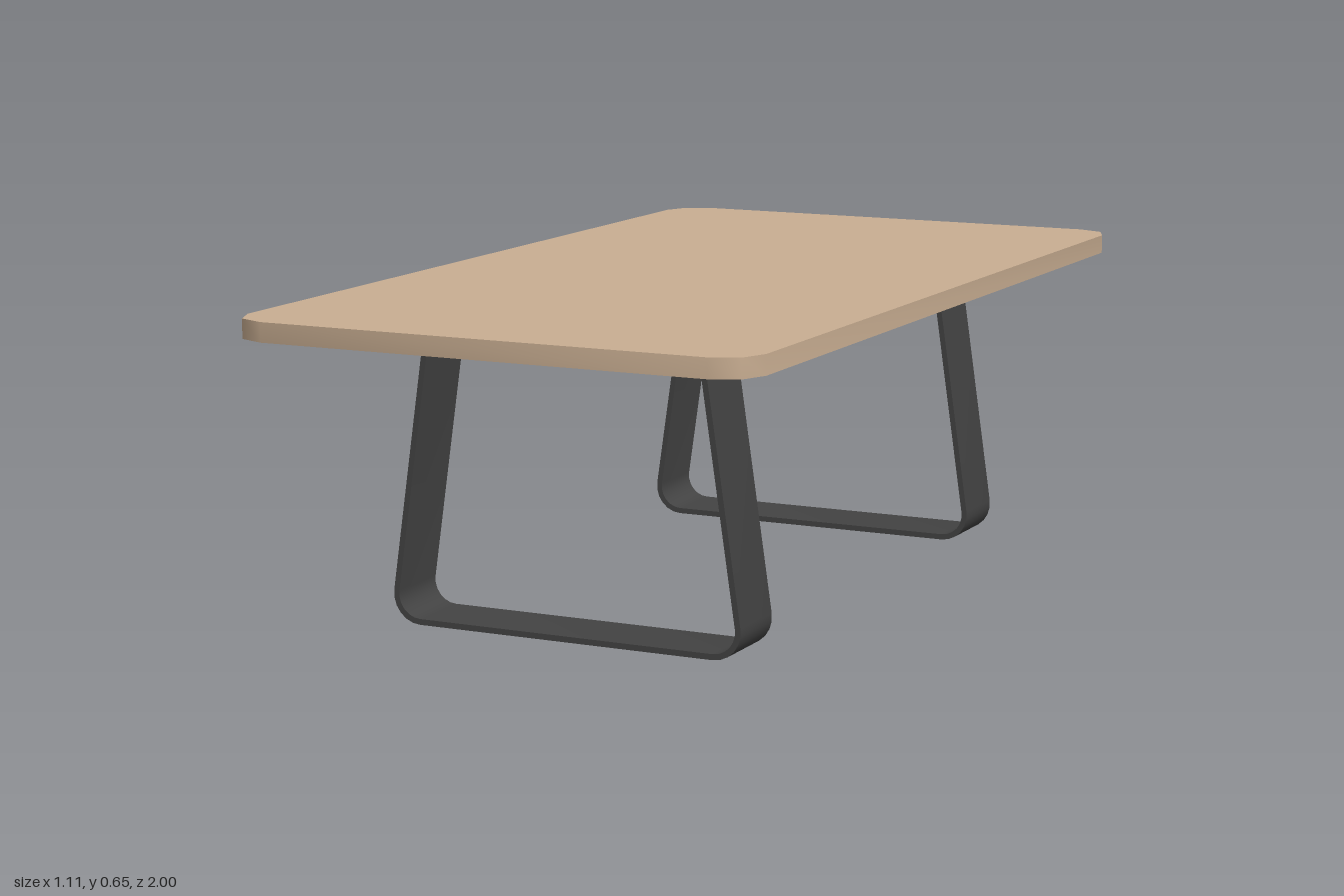
import * as THREE from 'three';
import { toCreasedNormals } from 'three/addons/utils/BufferGeometryUtils.js';

const CREASE = 0.95; // keeps rims sharp, smooths the rounded corners

function extrude(shape, depth, curveSegments) {
  const geo = new THREE.ExtrudeGeometry(shape, { depth, curveSegments, bevelEnabled: false });
  return toCreasedNormals(geo, CREASE);
}

export function createModel() {
  const wood = new THREE.MeshStandardMaterial({ color: 0xc9ae92 });
  wood.name = 'lightWood';
  const metal = new THREE.MeshStandardMaterial({ color: 0x434343 });
  metal.name = 'darkMetal';

  const table = new THREE.Group();
  table.name = 'table';

  // Table top: rounded rectangle slab, two facets per corner
  const halfW = 0.555, halfL = 1, corner = 0.08;
  const underside = 0.615, topThickness = 0.04;
  const slab = new THREE.Shape();
  const cx = halfW - corner, cy = halfL - corner;
  [[1, 1], [-1, 1], [-1, -1], [1, -1]].forEach(([sx, sy], q) => {
    for (let i = 0; i <= 2; i++) {
      const a = (q + i / 2) * Math.PI / 2;
      const x = sx * cx + corner * Math.cos(a), y = sy * cy + corner * Math.sin(a);
      if (q === 0 && i === 0) slab.moveTo(x, y);
      else slab.lineTo(x, y);
    }
  });
  const topGeo = extrude(slab, topThickness, 2);
  topGeo.rotateX(-Math.PI / 2);
  topGeo.translate(0, underside, 0);
  const top = new THREE.Mesh(topGeo, wood);
  top.name = 'tableTop';
  table.add(top);

  // Leg frame: flat bar bent into a tapering U with rounded bottom corners
  const bendX = 0.327, bendY = 0.06, bar = 0.012, bendSegments = 6;
  const lean = Math.atan2(0.08, 0.545);
  // One side of the bar, from bottom centre bend up to the table underside
  function halfPath(radius) {
    const pts = [];
    for (let i = 0; i <= bendSegments; i++) {
      const a = -Math.PI / 2 + (Math.PI / 2 + lean) * i / bendSegments;
      pts.push(new THREE.Vector2(bendX + radius * Math.cos(a), bendY + radius * Math.sin(a)));
    }
    const end = pts[pts.length - 1];
    pts.push(new THREE.Vector2(end.x - (underside - end.y) * Math.tan(lean), underside));
    return pts;
  }
  // Whole U from left top to right top
  function fullPath(radius) {
    const half = halfPath(radius);
    const mirrored = half.map(p => new THREE.Vector2(-p.x, p.y)).reverse();
    return [...mirrored, ...half];
  }
  const outline = new THREE.Shape([...fullPath(bendY), ...fullPath(bendY - bar).reverse()]);
  const legWidth = 0.145;
  const legGeo = extrude(outline, legWidth, bendSegments);
  legGeo.translate(0, 0, -legWidth / 2);

  for (const [name, z] of [['frontLeg', 0.596], ['backLeg', -0.596]]) {
    const leg = new THREE.Mesh(legGeo, metal);
    leg.name = name;
    leg.position.z = z;
    table.add(leg);
  }
  return table;
}
